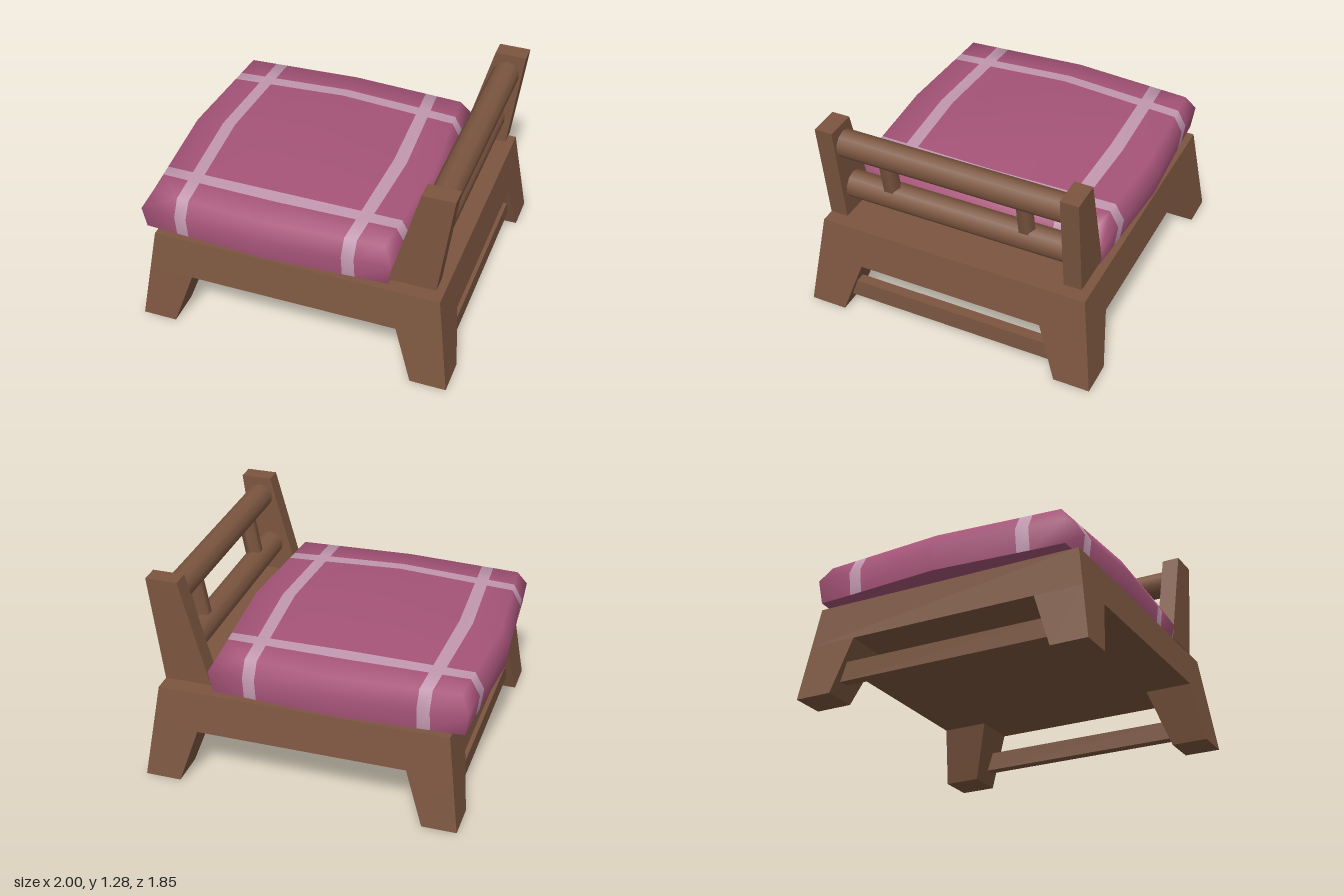
import * as THREE from 'three';

const wood = new THREE.MeshStandardMaterial({ color: 0x7c5640 });
wood.name = 'wood';
const fabric = new THREE.MeshStandardMaterial({ color: 0xa65478 });
fabric.name = 'cushion fabric';
const stripe = new THREE.MeshStandardMaterial({ color: 0xc298b0 });
stripe.name = 'cushion stripe';

// Six-sided block between two rectangles [x0, x1, z0, z1] at heights y0 and y1
function block(name, y0, low, y1, high) {
  const geo = new THREE.BoxGeometry(1, 1, 1);
  const p = geo.attributes.position;
  for (let i = 0; i < p.count; i++) {
    const r = p.getY(i) < 0 ? low : high;
    p.setXYZ(i, p.getX(i) < 0 ? r[0] : r[1], p.getY(i) < 0 ? y0 : y1, p.getZ(i) < 0 ? r[2] : r[3]);
  }
  geo.computeVertexNormals();
  const mesh = new THREE.Mesh(geo, wood);
  mesh.name = name;
  return mesh;
}

// Round rod between two points
function rod(name, a, b, radius, sides) {
  const from = new THREE.Vector3(...a), to = new THREE.Vector3(...b);
  const dir = to.clone().sub(from);
  const mesh = new THREE.Mesh(new THREE.CylinderGeometry(radius, radius, dir.length(), sides), wood);
  mesh.position.copy(from).add(to).multiplyScalar(0.5);
  mesh.quaternion.setFromUnitVectors(new THREE.Vector3(0, 1, 0), dir.normalize());
  mesh.name = name;
  return mesh;
}

// Domed cushion: a grid whose breakpoints follow the plaid, with side rings below
function cushion() {
  const grid = [-1, -0.775, -0.67, 0, 0.67, 0.775, 1];
  const last = grid.length - 1;
  const pos = [], faces = [[], []];
  const isStripe = (i) => i === 1 || i === 4;
  const edge = (u) => (Math.abs(u) === 1 ? Math.sign(u) : 0);
  const add = (i, j, y, outset) => {
    const u = grid[i], v = grid[j];
    const x = u * 0.72 * (1 + 0.083 * (1 - Math.abs(v))) + edge(u) * outset;
    const z = v * 0.76 * (1 + 0.053 * (1 - Math.abs(u))) + edge(v) * outset;
    pos.push(x - 0.165, y, z);
    return pos.length / 3 - 1;
  };
  const quad = (striped, a, b, c, d) => faces[striped ? 1 : 0].push(a, b, c, a, c, d);

  // Top
  const top = grid.map((u, i) => grid.map((v, j) =>
    add(i, j, 0.83 + 0.07 * (1 - Math.abs(u)) * (1 - Math.abs(v)), 0)));
  for (let i = 0; i < last; i++) for (let j = 0; j < last; j++) {
    quad(isStripe(i) || isStripe(j), top[i][j], top[i][j + 1], top[i + 1][j + 1], top[i + 1][j]);
  }

  // Sides
  const rim = [];
  for (let k = 0; k < last; k++) rim.push([k, last]);
  for (let k = 0; k < last; k++) rim.push([last, last - k]);
  for (let k = 0; k < last; k++) rim.push([last - k, 0]);
  for (let k = 0; k < last; k++) rim.push([0, k]);
  const rings = [
    rim.map(([i, j]) => top[i][j]),
    rim.map(([i, j]) => add(i, j, 0.73, 0.055)),
    rim.map(([i, j]) => add(i, j, 0.59, 0.037)),
  ];
  for (let r = 0; r < 2; r++) rim.forEach(([i, j], k) => {
    const n = (k + 1) % rim.length;
    const [i2, j2] = rim[n];
    const striped = isStripe(i === i2 ? Math.min(j, j2) : Math.min(i, i2));
    quad(striped, rings[r + 1][k], rings[r + 1][n], rings[r][n], rings[r][k]);
  });

  // Flat underside
  const under = rim.map(([i, j]) => add(i, j, 0.59, 0.037));
  const centre = add(3, 3, 0.59, 0);
  under.forEach((a, k) => faces[0].push(centre, under[(k + 1) % under.length], a));

  const geo = new THREE.BufferGeometry();
  geo.setAttribute('position', new THREE.Float32BufferAttribute(pos, 3));
  geo.setIndex([...faces[0], ...faces[1]]);
  geo.addGroup(0, faces[0].length, 0);
  geo.addGroup(faces[0].length, faces[1].length, 1);
  geo.computeVertexNormals();
  const mesh = new THREE.Mesh(geo, [fabric, stripe]);
  mesh.name = 'cushion';
  return mesh;
}

export function createModel() {
  const model = new THREE.Group();
  model.name = 'low cushioned bench';

  // Base frame with sloping sides
  const knee = 0.338;
  model.add(block('frame', knee, [-0.884, 0.951, -0.879, 0.879], 0.587, [-0.85, 0.915, -0.845, 0.845]));

  // Splayed legs at the four corners
  for (const s of [-1, 1]) {
    const span = (a, b) => [Math.min(s * a, s * b), Math.max(s * a, s * b)];
    const foot = span(0.7, 0.925), top = span(0.585, 0.879);
    model.add(block('rightLeg', 0, [-0.93, -0.72, ...foot], knee, [-0.884, -0.61, ...top]));
    model.add(block('leftLeg', 0, [0.78, 1, ...foot], knee, [0.67, 0.951, ...top]));

    // Leaning backrest posts
    const post = span(0.7, 0.81);
    model.add(block('backrestPost', 0.637, [0.595, 0.88, ...post], 1.285, [0.77, 0.962, ...post]));

    // Spindles between the rails
    model.add(rod('spindle', [0.78, 0.82, s * 0.43], [0.842, 1.15, s * 0.43], 0.055, 6));
  }

  // Stretchers between the legs on both sides
  for (const [x0, x1] of [[0.875, 0.94], [-0.87, -0.805]]) {
    const r = [x0, x1, -0.68, 0.68];
    model.add(block('stretcher', 0.083, r, 0.2, r));
  }

  // Backrest rails
  model.add(rod('lowerRail', [0.78, 0.818, -0.71], [0.78, 0.818, 0.71], 0.084, 10));
  model.add(rod('upperRail', [0.845, 1.152, -0.71], [0.845, 1.152, 0.71], 0.084, 10));

  model.add(cushion());
  return model;
}
